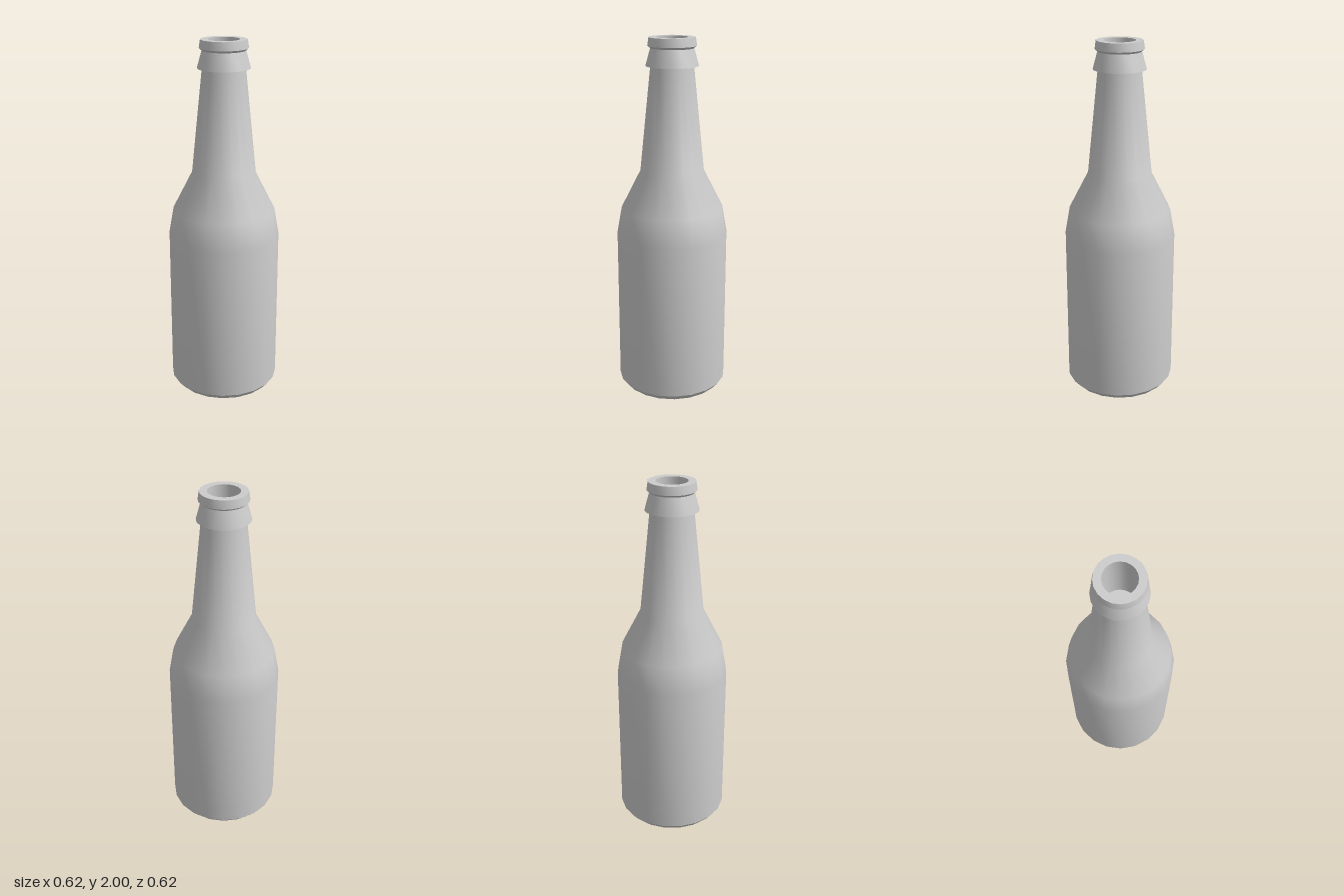
import * as THREE from 'three';
import { toCreasedNormals } from 'three/addons/utils/BufferGeometryUtils.js';

const SIDES = 20;

// Revolves [radius, height] pairs, keeping steep edges sharp
function turned(name, profile, material) {
  const points = profile.map(([r, y]) => new THREE.Vector2(r, y));
  const geometry = toCreasedNormals(new THREE.LatheGeometry(points, SIDES), Math.PI / 5);
  const mesh = new THREE.Mesh(geometry, material);
  mesh.name = name;
  return mesh;
}

export function createModel() {
  const bottle = new THREE.Group();
  bottle.name = 'bottle';
  const glass = new THREE.MeshStandardMaterial({ color: 0xcccccc });

  // Chamfered base, straight body, shoulder and tapering neck
  bottle.add(turned('body', [
    [0, 0], [0.28, 0], [0.31, 0.035], [0.31, 0.92],
    [0.283, 1.07], [0.176, 1.28], [0.117, 1.85],
  ], glass));

  // Flared collar under a thin lip
  bottle.add(turned('collarAndLip', [
    [0.117, 1.85], [0.143, 1.85], [0.117, 1.943],
    [0.132, 1.955], [0.125, 2], [0.085, 2],
  ], glass));

  // Inside of the mouth, walls facing inward
  bottle.add(turned('mouth', [[0.085, 2], [0.085, 1.7], [0, 1.7]], glass));

  return bottle;
}
